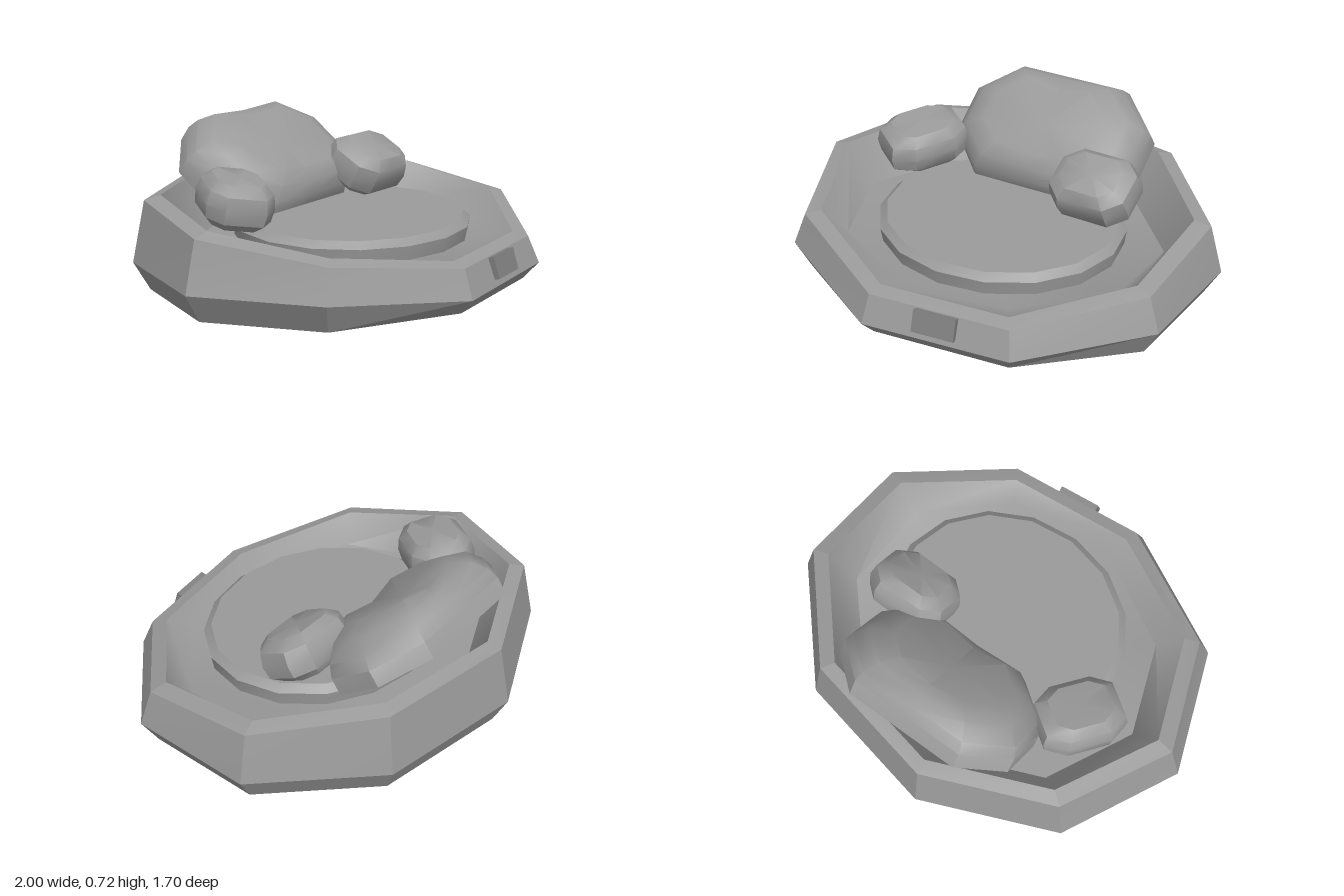
import * as THREE from 'three';
import { toCreasedNormals } from 'three/addons/utils/BufferGeometryUtils.js';

const material = new THREE.MeshStandardMaterial({ color: 0x9a9a9a, side: THREE.DoubleSide });
const plateMaterial = new THREE.MeshStandardMaterial({ color: 0x808080 });

// Skin a stack of equal-length rings (anticlockwise from above), with optional end points.
function loft(name, rings, { top, bottom, crease = 0.6 } = {}) {
  const n = rings[0].length;
  const pos = [];
  const tri = (...pts) => pts.forEach((p) => pos.push(...p));
  for (let j = 0; j < n; j++) {
    const k = (j + 1) % n;
    for (let i = 0; i + 1 < rings.length; i++) {
      const [a, b] = [rings[i], rings[i + 1]];
      tri(a[j], a[k], b[k]);
      tri(a[j], b[k], b[j]);
    }
    const first = rings[0], last = rings[rings.length - 1];
    if (top) tri(last[j], last[k], top);
    if (bottom) tri(first[k], first[j], bottom);
  }
  const geo = new THREE.BufferGeometry();
  geo.setAttribute('position', new THREE.Float32BufferAttribute(pos, 3));
  const mesh = new THREE.Mesh(toCreasedNormals(geo, crease), material);
  mesh.name = name;
  return mesh;
}

// Nine-sided basin ring; heights is one number or one per corner, starting at -x.
function basinRing(scale, heights, lift = 0) {
  return Array.from({ length: 9 }, (_, j) => {
    const a = Math.PI + (j * Math.PI * 2) / 9;
    const y = Array.isArray(heights) ? heights[j] : heights;
    return [0.031 + 1.031 * scale * Math.cos(a), y + lift, -0.863 * scale * Math.sin(a)];
  });
}

// Chamfered rectangle ring of a cushion; side is the straight share of its flanks,
// sag lowers the middle of the top and bottom edges.
function cushionRing(w, h, y, side, sag = 0) {
  const quarter = [[1, 0], [1, side], [0.6, 1]];
  const pts = [
    ...quarter, [0, 1],
    ...quarter.slice(1).reverse().map(([x, z]) => [-x, z]), [-1, 0],
    ...quarter.slice(1).map(([x, z]) => [-x, -z]), [0, -1],
    ...quarter.slice(1).reverse().map(([x, z]) => [x, -z]),
  ];
  return pts.map(([x, u]) => [x * w, y - (x === 0 ? sag : 0), -u * h]);
}

function place(mesh, position, pitch, yaw, roll = 0) {
  mesh.position.set(...position);
  mesh.rotation.set(pitch, yaw, roll, 'YXZ');
  return mesh;
}

// Small closed pillow
function pillow(name, w, h) {
  const profile = [[0.7, -0.1], [0.95, -0.06], [1, 0], [0.93, 0.06], [0.68, 0.1]];
  return loft(name, profile.map(([s, y]) => cushionRing(w * s, h * s, y, 0.52)),
    { top: [0, 0.105, 0], bottom: [0, -0.1, 0], crease: 0.65 });
}

export function createModel() {
  const model = new THREE.Group();

  // Basin: open underneath, rim rising to the back
  const belt = [0.13, 0.13, 0.07, 0.075, 0.13, 0.13, 0.13, 0.13, 0.13];
  const rim = [0.36, 0.28, 0.2, 0.2, 0.285, 0.355, 0.41, 0.41, 0.41];
  const innerRim = basinRing(0.865, rim, 0.02);
  model.add(loft('basinWall', [
    basinRing(0.922, 0),
    basinRing(1, belt),
    basinRing(0.942, rim),
    innerRim,
  ], { crease: 0.2 }));

  // Sunken bowl inside the rim
  model.add(loft('basinBowl', [innerRim, basinRing(0.74, 0.19)],
    { top: [0.031, 0.185, 0], crease: 0.9 }));

  // Round seat pad, nearly level
  const padRing = (r, y) => Array.from({ length: 16 }, (_, j) => {
    const a = (j * Math.PI) / 8;
    return [r * Math.cos(a), y, -(r - 0.065) * Math.sin(a)];
  });
  const pad = loft('seatPad', [padRing(0.575, -0.095), padRing(0.585, -0.03), padRing(0.55, 0)],
    { top: [0, 0, 0], crease: 0.5 });
  model.add(place(pad, [0.052, 0.305, 0.052], 0.03, 0));

  // Leaning back cushion: hollow shell with a rounded front
  const [w, h, side] = [0.465, 0.302, 0.4];
  const back = loft('backCushion', [
    cushionRing(w, h, 0.05, side),
    cushionRing(w, h, 0.13, side),
    cushionRing(w * 0.95, h * 0.95, 0.185, side),
    cushionRing(w * 0.82, h * 0.82, 0.25, side, 0.015),
    cushionRing(w * 0.6, h * 0.61, 0.29, side, 0.03),
  ], { top: [0, 0.25, 0], crease: 0.75 });
  model.add(place(back, [0.015, 0.377, -0.514], 0.63, 0.05));

  // Side pillows
  model.add(place(pillow('leftPillow', 0.2, 0.155), [0.42, 0.45, -0.155], 0.5, 0.03));
  model.add(place(pillow('rightPillow', 0.155, 0.198), [-0.525, 0.435, -0.15], 0.12, -0.58, -0.15));

  // Small plate on the front wall
  const plate = new THREE.Mesh(new THREE.BoxGeometry(0.2, 0.1, 0.05), plateMaterial);
  plate.name = 'frontPlate';
  model.add(place(plate, [0.19, 0.148, 0.772], -0.3, 0.145));

  return model;
}
